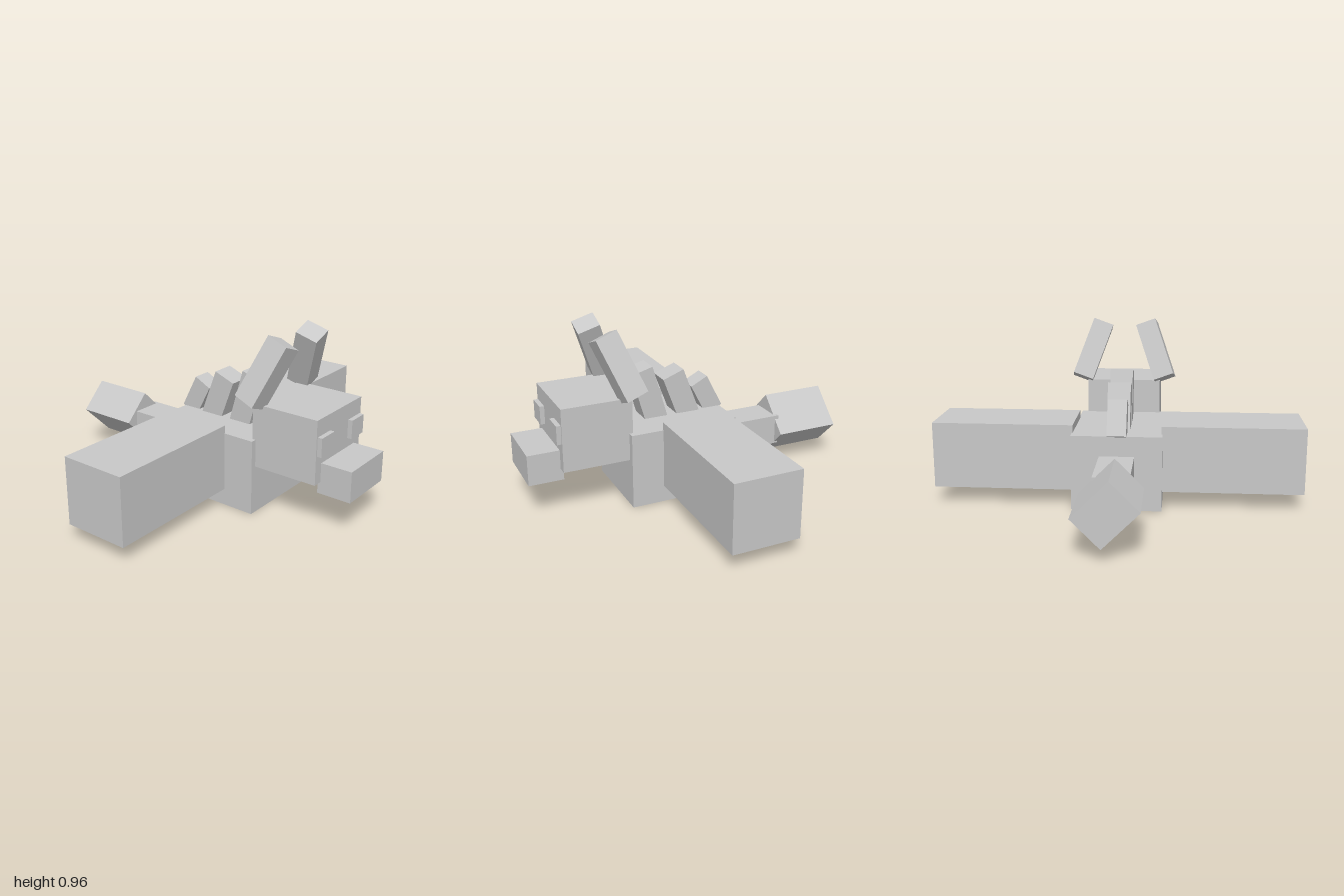
import * as THREE from 'three';

export function createModel() {
  const model = new THREE.Group();
  const grey = new THREE.MeshStandardMaterial({ color: 0xc8c8c8 });
  grey.name = 'light grey';

  // box of a given size, centred at a position, turned about x and then z
  function box(name, [w, h, d], [x, y, z], rx = 0, rz = 0) {
    const mesh = new THREE.Mesh(new THREE.BoxGeometry(w, h, d), grey);
    mesh.name = name;
    mesh.position.set(x, y, z);
    mesh.rotation.set(rx, 0, rz, 'ZYX');
    model.add(mesh);
  }
  const deg = THREE.MathUtils.degToRad;

  // body, head and snout
  box('body', [0.486, 0.408, 0.595], [0, 0.204, 0.0875]);
  box('head', [0.42, 0.34, 0.375], [-0.002, 0.43, 0.553]);
  box('snout', [0.316, 0.164, 0.185], [-0.002, 0.28, 0.8175]);

  // paired wings, eyes and tilted horns
  for (const [side, s] of [['left', 1], ['right', -1]]) {
    box(side + 'Wing', [0.763, 0.36, 0.36], [s * 0.6185, 0.27, 0.03]);
    box(side + 'Eye', [0.114, 0.1, 0.04], [s * 0.144 - 0.002, 0.462, 0.745]);
    box(side + 'Horn', [0.118, 0.342, 0.122], [s * 0.184 - 0.002, 0.765, 0.425], deg(20), s * deg(20));
  }

  // back spikes leaning forward, front to rear
  box('frontSpike', [0.125, 0.35, 0.125], [-0.002, 0.509, 0.202], deg(16));
  box('middleSpike', [0.125, 0.3, 0.125], [-0.002, 0.492, 0.0175], deg(20.5));
  box('rearSpike', [0.103, 0.2, 0.105], [-0.002, 0.478, -0.133], deg(27));

  // tail and its tip, rolled onto an edge
  box('tail', [0.187, 0.168, 0.39], [-0.002, 0.215, -0.38]);
  box('tailTip', [0.204, 0.255, 0.36], [-0.002, 0.2275, -0.733], 0, deg(45));

  return model;
}
